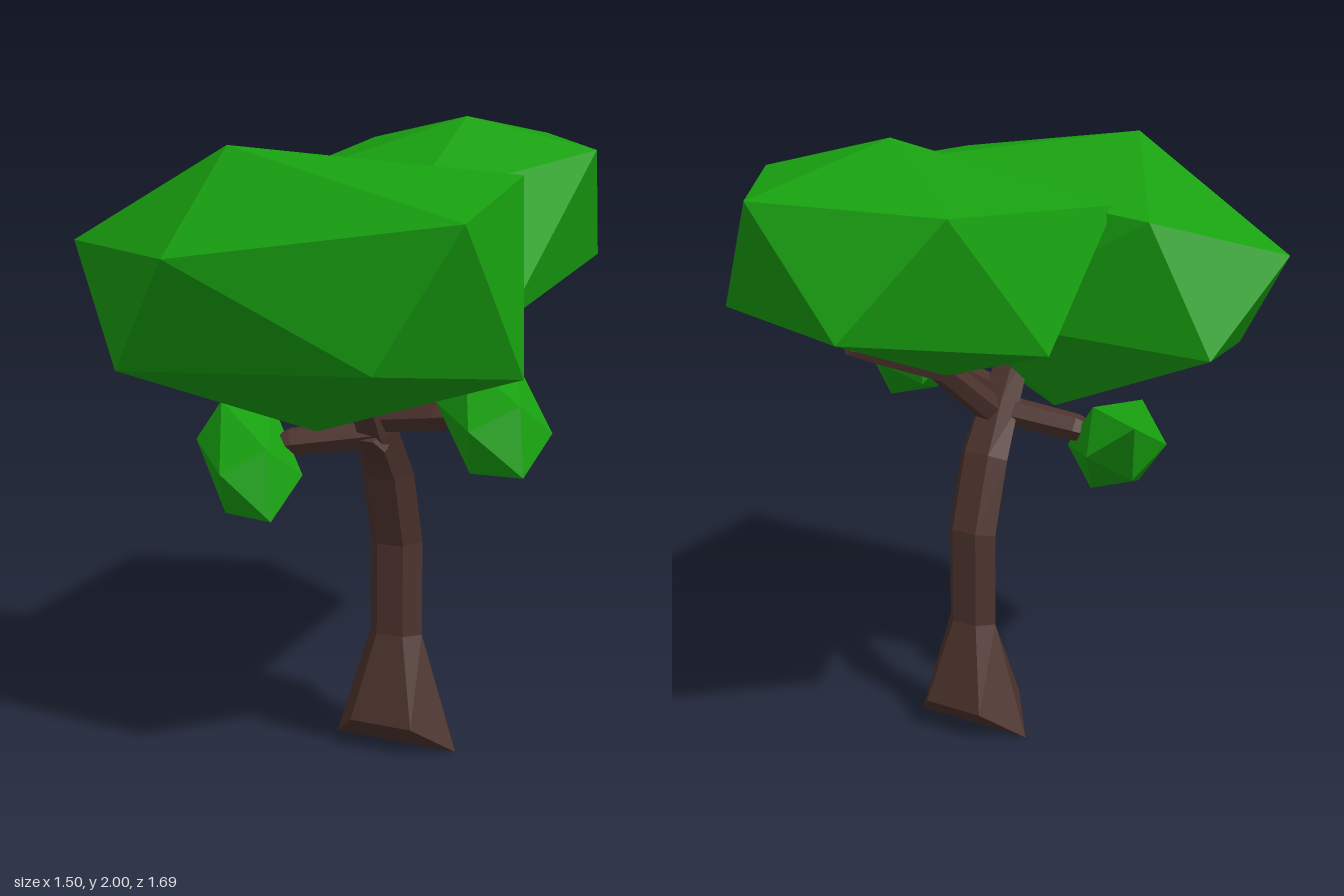
import * as THREE from 'three';
import { ConvexGeometry } from 'three/addons/geometries/ConvexGeometry.js';

const V = (p) => new THREE.Vector3(...p);
const SIDES = 6;

// Skin over a list of rings (bottom to top), closed at both ends
function loft(rings) {
  const pos = [];
  const tri = (a, b, c) => pos.push(...a.toArray(), ...b.toArray(), ...c.toArray());
  for (let i = 0; i < rings.length - 1; i++) {
    for (let k = 0; k < SIDES; k++) {
      const n = (k + 1) % SIDES, lo = rings[i], hi = rings[i + 1];
      tri(lo[k], hi[k], lo[n]);
      tri(lo[n], hi[k], hi[n]);
    }
  }
  const first = rings[0], last = rings[rings.length - 1];
  for (let k = 1; k < SIDES - 1; k++) {
    tri(first[0], first[k], first[k + 1]);
    tri(last[0], last[k + 1], last[k]);
  }
  const g = new THREE.BufferGeometry();
  g.setAttribute('position', new THREE.Float32BufferAttribute(pos, 3));
  g.computeVertexNormals();
  return g;
}

// Six corners around a centre, spanned by two axes
function ring(c, u, v) {
  return Array.from({ length: SIDES }, (_, k) => {
    const a = (k / SIDES) * Math.PI * 2;
    return c.clone().addScaledVector(u, Math.cos(a)).addScaledVector(v, Math.sin(a));
  });
}

// Tapered limb along a path of [x, y, z, radius]
function limb(path) {
  const pts = path.map((p) => V(p.slice(0, 3)));
  return loft(path.map((p, i) => {
    const t = pts[Math.min(i + 1, pts.length - 1)].clone().sub(pts[Math.max(i - 1, 0)]).normalize();
    const u = new THREE.Vector3(0, 1, 0).cross(t).normalize();
    const v = u.clone().cross(t);
    return ring(pts[i], u.multiplyScalar(p[3]), v.multiplyScalar(p[3]));
  }));
}

// Trunk rings: [x, y, z, half width, half depth, forward tilt]
function trunkGeometry() {
  const rows = [
    [0.15, 0.38, 0.03, 0.09, 0.05, 0],
    [0.15, 0.69, 0.03, 0.09, 0.05, 0.2],
    [0.15, 0.93, 0.1, 0.09, 0.045, 0.45],
    [0.15, 1.09, 0.19, 0.075, 0.045, 0.6],
    [0.14, 1.3, 0.3, 0.055, 0.04, 0.5],
  ].map(([x, y, z, w, d, t]) =>
    ring(V([x, y, z]), V([w, 0, 0]), V([0, -t * d / 0.866, d / 0.866])));
  // Flared foot, its front and back corners lifted off the ground
  const foot = ring(V([0.15, 0, 0.03]), V([0.21, 0, 0]), V([0, 0, 0.12 / 0.866]));
  foot.forEach((p, k) => { if (k % 3) p.y = 0.1; });
  return loft([foot, ...rows]);
}

export function createModel() {
  const tree = new THREE.Group();
  tree.name = 'tree';
  const bark = new THREE.MeshStandardMaterial({ color: 0x4e342e, flatShading: true });
  const leaf = new THREE.MeshStandardMaterial({ color: 0x18a010, flatShading: true });
  const add = (name, geometry, material) => {
    const m = new THREE.Mesh(geometry, material);
    m.name = name;
    tree.add(m);
    return m;
  };

  add('trunk', trunkGeometry(), bark);

  // Branches
  add('backBranch', limb([
    [0.15, 1.02, 0.22, 0.05], [0.19, 1.26, -0.08, 0.045], [0.25, 1.36, -0.34, 0.035], [0.27, 1.39, -0.45, 0.015],
  ]), bark);
  add('leftBranch', limb([[0.16, 1.12, 0.19, 0.05], [0.39, 1.16, 0.24, 0.05], [0.5, 1.18, 0.27, 0.02]]), bark);
  add('rightBranch', limb([[0.15, 1.07, 0.19, 0.05], [-0.1, 1.03, 0.26, 0.045], [-0.2, 1.0, 0.3, 0.02]]), bark);
  add('twig', limb([[0.19, 1.2, 0.02, 0.03], [0.12, 1.34, -0.14, 0.008]]), bark);

  // Large crowns, twelve corners each
  add('frontCrown', new ConvexGeometry([
    [-0.15, 1.96, 0.55], [0.68, 1.81, 0.78], [-0.2, 1.67, 0.845], [-0.745, 1.64, 0.45],
    [0.57, 1.86, 0.07], [-0.43, 1.76, 0.13], [0.43, 1.39, 0.815], [0.71, 1.33, 0.41],
    [-0.49, 1.29, 0.64], [-0.63, 1.35, 0.17], [0.2, 1.4, 0.04], [0, 1.08, 0.29],
  ].map(V)), leaf);
  add('backCrown', new ConvexGeometry([
    [0.27, 2, -0.22], [0.31, 1.9, -0.845], [0.65, 1.9, -0.35], [-0.25, 1.88, -0.66],
    [0.31, 1.8, 0.3], [-0.28, 1.79, 0.18], [0, 1.53, -0.845], [0.56, 1.53, -0.66],
    [-0.37, 1.44, -0.33], [0.57, 1.45, 0.18], [-0.01, 1.42, 0.3], [0.03, 1.31, -0.28],
  ].map(V)), leaf);

  // Small drooping tufts, stretched from corner to corner
  const axis = new THREE.Vector3(0.6, -0.45, 0.66).normalize();
  const corner = new THREE.Vector3(0, 1, (1 + Math.sqrt(5)) / 2).normalize();
  const toY = new THREE.Quaternion().setFromUnitVectors(corner, new THREE.Vector3(0, 1, 0));
  const toAxis = new THREE.Quaternion().setFromUnitVectors(new THREE.Vector3(0, 1, 0), axis);
  for (const [name, centre, half] of [
    ['leftTuft', [0.57, 1.18, 0.28], 0.27],
    ['rightTuft', [-0.225, 0.98, 0.31], 0.3],
  ]) {
    const g = new THREE.IcosahedronGeometry(1, 0);
    g.applyQuaternion(toY).scale(0.155, half, 0.155).applyQuaternion(toAxis).translate(...centre);
    add(name, g, leaf);
  }
  return tree;
}
